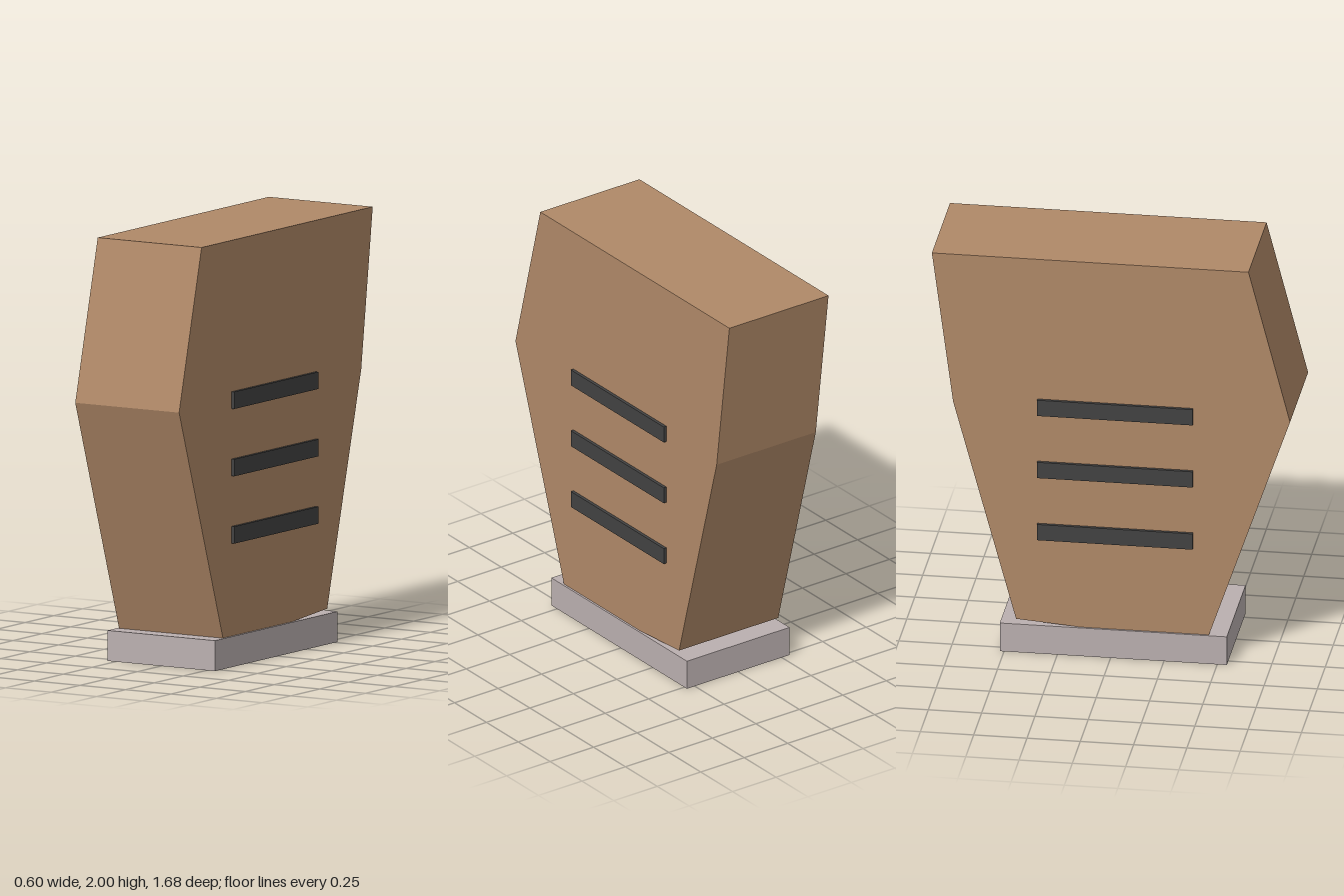
import * as THREE from 'three';

export function createModel() {
  const model = new THREE.Group();
  const brown = new THREE.MeshStandardMaterial({ name: 'brown', color: 0xb08968, flatShading: true });
  const grey = new THREE.MeshStandardMaterial({ name: 'paleGrey', color: 0xbbb0b0, flatShading: true });
  const dark = new THREE.MeshStandardMaterial({ name: 'charcoal', color: 0x424242, flatShading: true });

  function add(name, geometry, material, x, y, z) {
    const mesh = new THREE.Mesh(geometry, material);
    mesh.name = name;
    mesh.position.set(x, y, z);
    model.add(mesh);
  }

  // Body: side profile as [z, y], extruded across the width
  const profile = [[0.445, 0.1], [0.84, 1.25], [0.645, 2], [-0.84, 2], [-0.74, 1.25], [-0.445, 0.165]];
  const width = 0.57;
  const shape = new THREE.Shape(profile.map(([z, y]) => new THREE.Vector2(-z, y)));
  const body = new THREE.ExtrudeGeometry(shape, { depth: width, bevelEnabled: false });
  body.translate(0, 0, -width / 2);
  body.rotateY(Math.PI / 2);
  add('body', body, brown, 0, 0, 0);

  // Base plate
  add('base', new THREE.BoxGeometry(0.59, 0.143, 1.065), grey, 0, 0.0715, 0.0125);

  // Three slats on each side
  const slat = new THREE.BoxGeometry(0.03, 0.08, 0.73);
  for (const side of [1, -1]) {
    for (const y of [0.618, 0.934, 1.25]) {
      add(side > 0 ? 'leftSlat' : 'rightSlat', slat, dark, side * 0.285, y, 0.02);
    }
  }
  return model;
}
